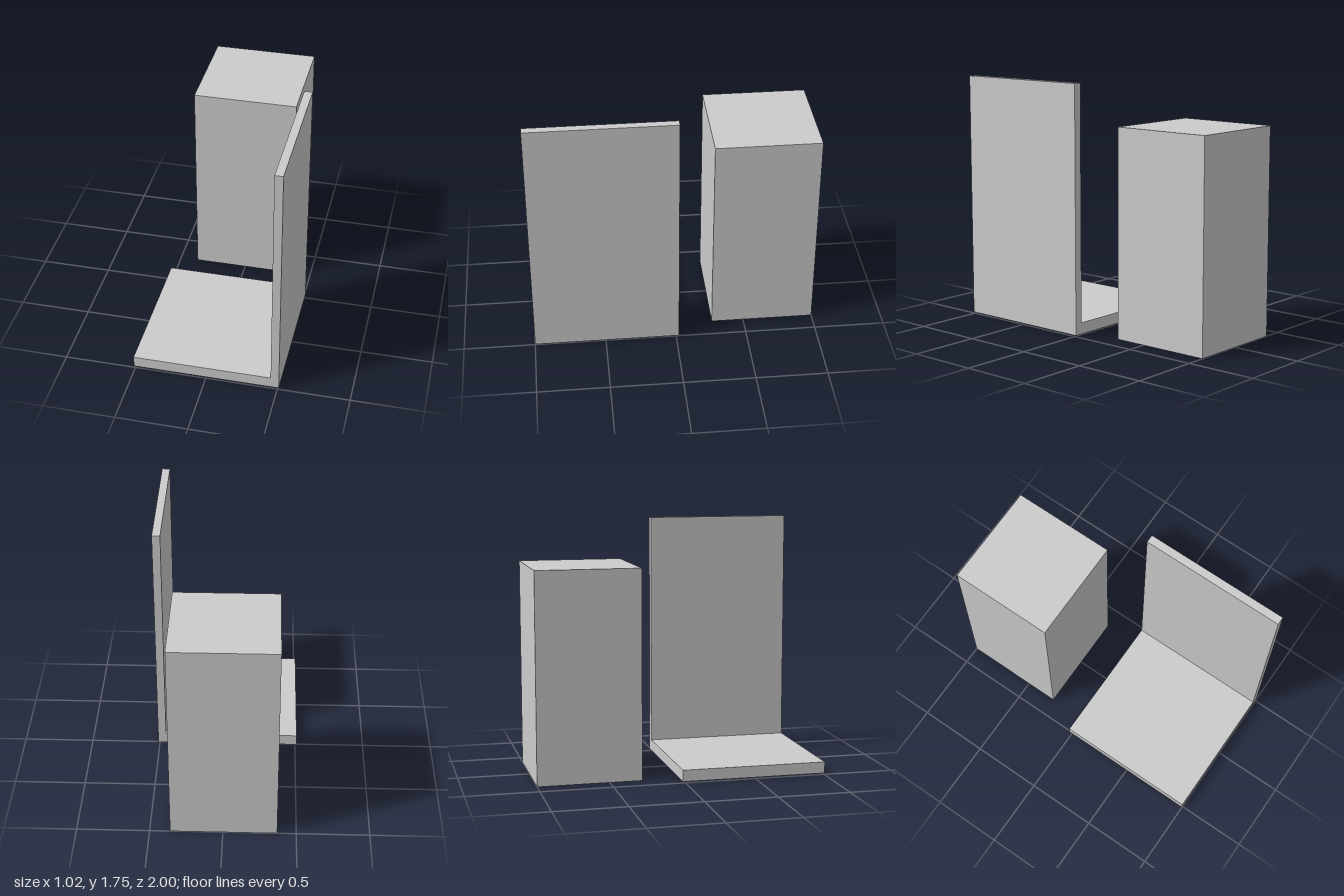
import * as THREE from 'three';

export function createModel() {
  const group = new THREE.Group();
  const material = new THREE.MeshStandardMaterial({ color: 0xcccccc, flatShading: true });

  // L-shaped stand: thin base with an upright panel on its left edge
  const profile = new THREE.Shape([
    [-0.51, 0.012], [0.51, 0.012], [0.51, 1.75],
    [0.453, 1.75], [0.453, 0.092], [-0.51, 0.092],
  ].map(([x, y]) => new THREE.Vector2(x, y)));
  const stand = new THREE.Mesh(
    new THREE.ExtrudeGeometry(profile, { depth: 1.02, bevelEnabled: false }), material);
  stand.name = 'angledStand';
  stand.position.z = -0.02;
  group.add(stand);

  // Solid upright block behind the stand
  const block = new THREE.Mesh(new THREE.BoxGeometry(0.73, 1.464, 0.728), material);
  block.name = 'rearBlock';
  block.position.set(-0.005, 0.732, -0.636);
  group.add(block);

  return group;
}
